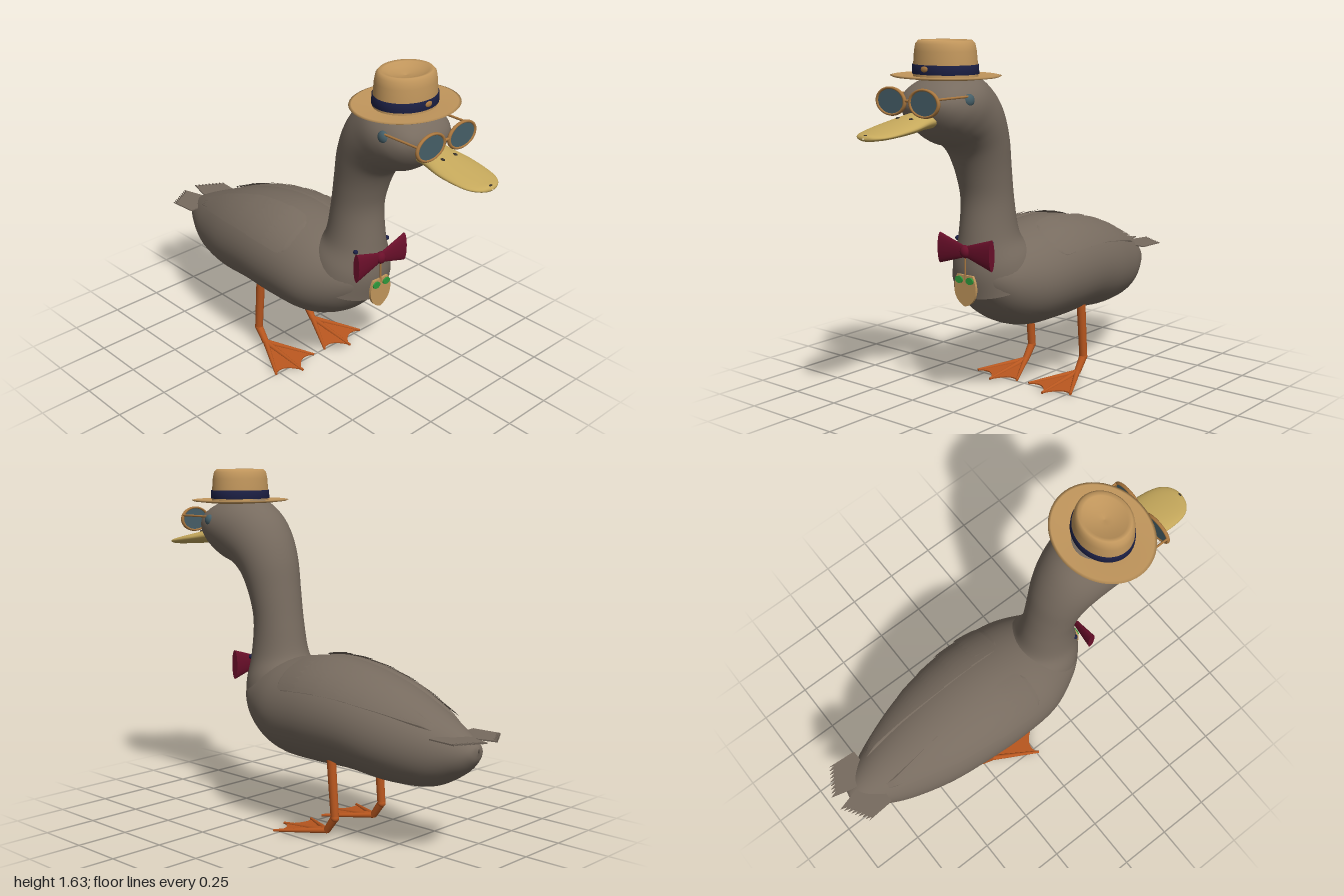
import * as THREE from 'three';

const mat = (name, color, side = THREE.FrontSide) => {
  const m = new THREE.MeshStandardMaterial({ color, side });
  m.name = name;
  return m;
};
const V = (x, y, z) => new THREE.Vector3(x, y, z);

// Surface through oval rings; each row is [z1, y1, z2, y2, halfWidth]
function loftSurface(rows) {
  const a = new THREE.CatmullRomCurve3(rows.map(r => V(r[4], r[1], r[0])), false, 'catmullrom', 0.5);
  const b = new THREE.CatmullRomCurve3(rows.map(r => V(0, r[3], r[2])), false, 'catmullrom', 0.5);
  return (t, ang) => {
    const p = a.getPoint(t), q = b.getPoint(t), c = Math.cos(ang) / 2;
    return V(Math.max(p.x, 0.001) * Math.sin(ang),
      (p.y + q.y) / 2 + (q.y - p.y) * c, (p.z + q.z) / 2 + (q.z - p.z) * c);
  };
}

// Mesh of a grid of points; wrap closes it around
function gridGeometry(nu, nv, fn, wrap, flip) {
  const pos = [], idx = [], cols = wrap ? nv : nv + 1;
  for (let i = 0; i <= nu; i++)
    for (let j = 0; j < cols; j++) pos.push(...fn(i / nu, j / nv).toArray());
  for (let i = 0; i < nu; i++)
    for (let j = 0; j < nv; j++) {
      const k = (j + 1) % cols, a = i * cols + j, b = a + cols, c = i * cols + k, d = c + cols;
      if (flip) idx.push(a, c, b, c, d, b);
      else idx.push(a, b, c, c, b, d);
    }
  const g = new THREE.BufferGeometry();
  g.setAttribute('position', new THREE.Float32BufferAttribute(pos, 3));
  g.setIndex(idx);
  g.computeVertexNormals();
  return g;
}
const loft = (surface, nu, nv = 48) => gridGeometry(nu, nv, (u, v) => surface(u, v * Math.PI * 2), true, false);

export function createModel() {
  const model = new THREE.Group();
  const plumage = mat('brown plumage', 0x776b5f, THREE.DoubleSide);
  const straw = mat('straw', 0xc1965c);
  const navy = mat('navy', 0x1c2045);
  const billMat = mat('bill yellow', 0xc6a95c);
  const orange = mat('leg orange', 0xb9571f);
  const maroon = mat('maroon', 0x6a0f2a);
  const glass = mat('smoky glass', 0x465f68);
  const gold = mat('frame gold', 0xa9773f);
  const green = mat('green', 0x2f9a3c);
  const dark = mat('dark', 0x39332c);

  const add = (name, geo, m, parent = model) => {
    const o = new THREE.Mesh(geo, m);
    o.name = name;
    parent.add(o);
    return o;
  };
  const rod = (name, a, b, r1, r2, m, parent = model) => {
    const d = b.clone().sub(a);
    const o = add(name, new THREE.CylinderGeometry(r2, r1, d.length(), 14), m, parent);
    o.position.copy(a).addScaledVector(d, 0.5);
    o.quaternion.setFromUnitVectors(V(0, 1, 0), d.normalize());
    return o;
  };
  const ball = (name, r, x, y, z, m, sx = 1, sy = 1, sz = 1) => {
    const o = add(name, new THREE.SphereGeometry(r, 20, 14), m);
    o.position.set(x, y, z);
    o.scale.set(sx, sy, sz);
    return o;
  };

  // Body: [z, bottom, top, half width]
  const bodyRows = [
    [-0.922, 0.49, 0.51, 0.005], [-0.905, 0.445, 0.53, 0.05], [-0.84, 0.38, 0.57, 0.1],
    [-0.7, 0.31, 0.64, 0.17], [-0.5, 0.296, 0.725, 0.235], [-0.3, 0.313, 0.78, 0.268],
    [-0.1, 0.31, 0.8, 0.28], [0.1, 0.32, 0.775, 0.265], [0.25, 0.385, 0.73, 0.205],
    [0.35, 0.49, 0.69, 0.13], [0.4, 0.58, 0.64, 0.03]];
  const body = loftSurface(bodyRows.map(([z, b, t, w]) => [z, b, z, t, w]));
  add('body', loft(body, 70), plumage);

  // Neck and head: front point, back point, half width
  add('neckAndHead', loft(loftSurface([
    [0.385, 0.5, 0, 0.62, 0.2], [0.405, 0.62, 0.06, 0.72, 0.175], [0.39, 0.76, 0.11, 0.78, 0.135],
    [0.378, 0.92, 0.14, 0.92, 0.12], [0.4, 1.03, 0.165, 1.08, 0.126], [0.445, 1.13, 0.19, 1.22, 0.142],
    [0.5, 1.18, 0.235, 1.34, 0.158], [0.56, 1.2, 0.3, 1.43, 0.17], [0.6, 1.22, 0.4, 1.495, 0.18],
    [0.645, 1.255, 0.5, 1.5, 0.174], [0.68, 1.3, 0.59, 1.482, 0.148], [0.7, 1.345, 0.655, 1.445, 0.1],
    [0.706, 1.38, 0.704, 1.39, 0.005]]), 80), plumage);

  // Bill
  add('bill', loft(loftSurface([
    [0.62, 1.275, 1.36, 0.08], [0.7, 1.275, 1.345, 0.086], [0.8, 1.266, 1.322, 0.103],
    [0.9, 1.259, 1.3, 0.098], [0.955, 1.256, 1.288, 0.08], [0.988, 1.256, 1.281, 0.045],
    [1, 1.264, 1.27, 0.003]].map(([z, b, t, w]) => [z, b, z, t, w])), 36, 32), billMat);
  ball('billNail', 0.012, 0, 1.279, 0.985, dark, 1, 0.3, 0.6);

  // Point on a wing: s runs front to back, t from the spine outwards
  const wingPoint = (side, s, t, lift) => {
    const z = 0.05 - 0.83 * s;
    const round = 0.25 * Math.max(0, 1 - s / 0.08) ** 2;
    const a0 = 0.24 + 0.35 * s ** 3 + round, a1 = 1.12 - 0.36 * s ** 2 - round;
    const u = (3 + (z + 0.7) / 0.2) / (bodyRows.length - 1), ang = a0 + (a1 - a0) * t;
    const p = body(u, ang);
    const n = V(Math.sin(ang), Math.cos(ang), 0);
    p.addScaledVector(n, lift);
    p.x *= side;
    return p;
  };

  for (const s of [1, -1]) {
    const tag = s > 0 ? 'left' : 'right';

    // Wing with rows of overlapping feathers
    const wing = new THREE.Group();
    wing.name = tag + 'Wing';
    model.add(wing);
    add('wingBase', gridGeometry(30, 14, (u, v) => {
      const edge = Math.min(u, 1 - u, v, 1 - v);
      return wingPoint(s, u, v, 0.012 * Math.min(1, edge * 9) - 0.002);
    }, false, s < 0), plumage, wing);
    const starts = [0.04, 0.13, 0.22, 0.31, 0.41, 0.52];
    starts.forEach((s0, row) => {
      const len = 0.15 + 0.056 * row, count = 7;
      for (let c = 0; c < count; c++) {
        const mid = (c + (row % 2 ? 0.65 : 0.35)) / count;
        add('feather', gridGeometry(8, 4, (u, v) => {
          const half = 0.52 / count * Math.sqrt(Math.max(0.002, 1 - u ** 6));
          const t = THREE.MathUtils.clamp(mid + (v - 0.5) * 2 * half, 0.01, 0.99);
          return wingPoint(s, s0 + len * u, t, 0.008 + 0.011 * u);
        }, false, s < 0), plumage, wing);
      }
    });

    // Jagged tail fan
    const fan = new THREE.Shape();
    fan.moveTo(0.01, 0.78);
    fan.lineTo(0.004, 0.88);
    const teeth = 8;
    for (let i = 0; i <= teeth; i++) {
      const k = i / teeth;
      fan.lineTo(0.035 + 0.125 * k, 0.99 - 0.075 * k);
      if (i < teeth) fan.lineTo(0.04 + 0.12 * (k + 0.5 / teeth), 0.955 - 0.07 * k);
    }
    fan.lineTo(0.15, 0.78);
    const fanGeo = new THREE.ExtrudeGeometry(fan, { depth: 0.006, bevelEnabled: false });
    fanGeo.rotateX(-Math.PI / 2);
    if (s < 0) fanGeo.rotateZ(Math.PI);
    add(tag + 'TailFan', fanGeo, plumage).position.y = 0.55;

    // Leg and webbed foot
    const x = 0.158 * s;
    rod(tag + 'Leg', V(x, 0.37, -0.235), V(x, 0.105, -0.257), 0.021, 0.019, orange);
    ball(tag + 'Ankle', 0.02, x, 0.105, -0.257, orange);
    rod(tag + 'Shank', V(x, 0.105, -0.257), V(x, 0.037, -0.208), 0.019, 0.016, orange);
    const foot = new THREE.Group();
    foot.name = tag + 'Foot';
    foot.position.set(x, 0.037, -0.208);
    foot.rotation.x = 0.1;
    model.add(foot);
    const web = new THREE.Shape();
    web.moveTo(0, 0);
    web.lineTo(0.12, 0.215);
    web.quadraticCurveTo(0.055, 0.175, 0, 0.265);
    web.quadraticCurveTo(-0.055, 0.175, -0.12, 0.215);
    const webGeo = new THREE.ExtrudeGeometry(web, { depth: 0.006, bevelEnabled: false });
    webGeo.rotateX(Math.PI / 2);
    add('web', webGeo, orange, foot);
    for (const k of [-1, 0, 1])
      rod('toe', V(0, 0, 0), V(0.122 * k, 0, k ? 0.22 : 0.275), 0.014, 0.006, orange, foot);

    // Eye, nostril
    ball(tag + 'Eye', 0.027, 0.163 * s, 1.395, 0.56, glass, 0.7);
    ball(tag + 'Nostril', 0.009, 0.037 * s, 1.328, 0.77, dark, 0.8, 0.5, 1.2);

    // Spectacles
    const rim = add(tag + 'Rim', new THREE.TorusGeometry(0.078, 0.008, 10, 40), gold);
    rim.scale.y = 0.7;
    const lens = add(tag + 'Lens', new THREE.CylinderGeometry(0.076, 0.076, 0.006, 36), glass);
    lens.rotation.x = Math.PI / 2;
    lens.scale.z = 0.7;
    for (const o of [rim, lens]) o.position.set(0.093 * s, 1.392, 0.752);
    rod(tag + 'Temple', V(0.168 * s, 1.412, 0.752), V(0.168 * s, 1.412, 0.56), 0.005, 0.005, gold);

    // Bow loop
    const loop = new THREE.CylinderGeometry(0.07, 0.024, 0.15, 28);
    loop.rotateZ(-s * Math.PI / 2);
    const bow = add(tag + 'BowLoop', loop, maroon);
    bow.position.set(0.075 * s, 0.715, 0.408);
    bow.scale.z = 0.26;
    ball(tag + 'CollarStud', 0.011, 0.098 * s, 0.755, 0.35, navy);

    // Pendant spectacles
    const gem = add(tag + 'PendantLens', new THREE.CylinderGeometry(0.021, 0.021, 0.008, 20), green);
    gem.rotation.x = Math.PI / 2;
    gem.scale.z = 0.75;
    gem.position.set(0.031 * s, 0.588, 0.418);
  }
  rod('bridge', V(-0.02, 1.398, 0.752), V(0.02, 1.398, 0.752), 0.006, 0.006, gold);
  ball('bowKnot', 0.029, 0, 0.715, 0.41, maroon, 0.9, 1, 0.75);

  // Pendant on a short cord
  rod('pendantCord', V(0, 0.69, 0.41), V(0, 0.59, 0.412), 0.004, 0.004, gold);
  const shield = new THREE.Shape();
  shield.moveTo(-0.045, 0.61);
  shield.lineTo(0.045, 0.61);
  shield.bezierCurveTo(0.075, 0.56, 0.07, 0.49, 0, 0.468);
  shield.bezierCurveTo(-0.07, 0.49, -0.075, 0.56, -0.045, 0.61);
  add('pendant', new THREE.ExtrudeGeometry(shield, { depth: 0.012, bevelEnabled: false, curveSegments: 16 }), straw)
    .position.z = 0.403;

  // Straw hat, oval in plan
  const hat = new THREE.Group();
  hat.name = 'hat';
  hat.position.z = 0.522;
  hat.scale.z = 0.86;
  model.add(hat);
  const lathe = (name, pts, m) =>
    add(name, new THREE.LatheGeometry(pts.map(p => new THREE.Vector2(...p)), 56), m, hat);
  lathe('brim', [[0.06, 1.474], [0.15, 1.474], [0.235, 1.483], [0.248, 1.489],
    [0.235, 1.492], [0.14, 1.485]], straw);
  lathe('crown', [[0.145, 1.48], [0.144, 1.53], [0.139, 1.59], [0.133, 1.62], [0.12, 1.634],
    [0.102, 1.632], [0.075, 1.618], [0.035, 1.612], [0, 1.606]], straw);
  lathe('hatBand', [[0.14, 1.495], [0.149, 1.496], [0.148, 1.535], [0.138, 1.536]], navy);
  const badge = add('bandBadge', new THREE.SphereGeometry(0.019, 20, 12), gold, hat);
  badge.position.set(0, 1.519, 0.149);
  badge.scale.set(1, 0.65, 0.35);

  return model;
}
